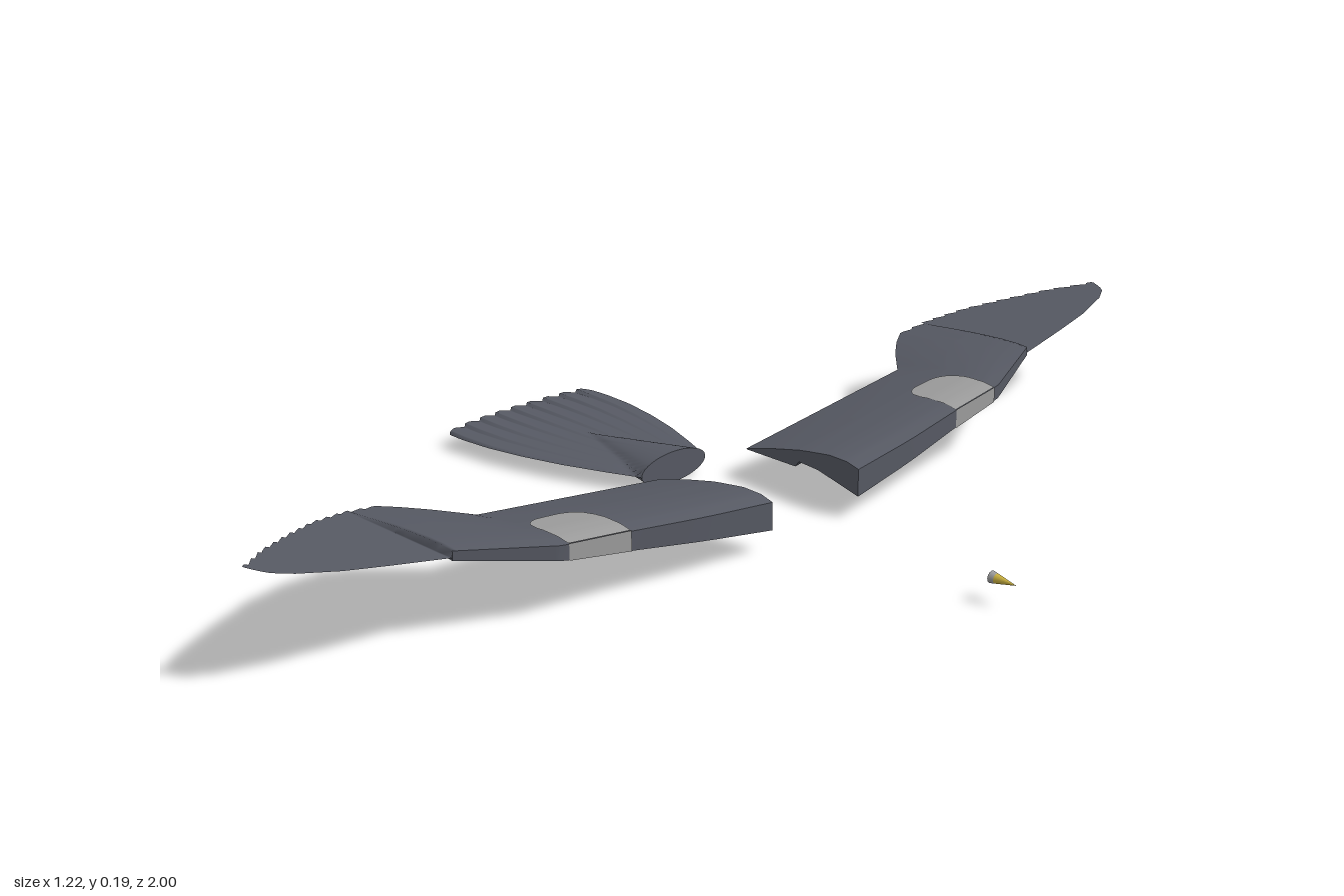
import * as THREE from 'three';

const plumage = new THREE.MeshStandardMaterial({ color: 0x565963, side: THREE.DoubleSide });
plumage.name = 'slate plumage';
const pale = new THREE.MeshStandardMaterial({ color: 0x9c9c9c, side: THREE.DoubleSide });
pale.name = 'pale grey';
const yellow = new THREE.MeshStandardMaterial({ color: 0xc9b040 });
yellow.name = 'beak yellow';

// Linear interpolation in a list of [key, value] pairs
function table(points, k) {
  if (k <= points[0][0]) return points[0][1];
  for (let i = 1; i < points.length; i++) {
    const [a, va] = points[i - 1], [b, vb] = points[i];
    if (k <= b) return va + (vb - va) * (k - a) / (b - a);
  }
  return points[points.length - 1][1];
}

// Surface sampled from fn(u, v) -> [x, y, z]
function sheet(name, material, fn, us, vs, flip) {
  const pos = [], idx = [], n = vs.length;
  for (const u of us) for (const v of vs) pos.push(...fn(u, v));
  for (let i = 0; i < us.length - 1; i++) for (let j = 0; j < n - 1; j++) {
    const a = i * n + j, b = a + 1, c = a + n, d = c + 1;
    if (flip) idx.push(a, c, b, b, c, d);
    else idx.push(a, b, c, b, d, c);
  }
  const g = new THREE.BufferGeometry();
  g.setAttribute('position', new THREE.Float32BufferAttribute(pos, 3));
  g.setIndex(idx);
  g.computeVertexNormals();
  const mesh = new THREE.Mesh(g, material);
  mesh.name = name;
  return mesh;
}
const range = (a, b, n) => Array.from({ length: n + 1 }, (_, i) => a + (b - a) * i / n);

// Wing outline and section, by distance from the centre line
const LEAD = [[0.105, 0.178], [0.25, 0.168], [0.4, 0.149], [0.53, 0.138], [0.69, 0.077], [0.8, 0.072],
  [0.88, 0.066], [0.95, 0.05], [0.98, 0.034], [0.99, 0.02], [1, -0.002]];
const TRAIL = [[0.105, -0.092], [0.51, -0.09], [0.56, -0.14], [0.6, -0.172], [0.635, -0.193], [0.7, -0.187],
  [0.78, -0.158], [0.85, -0.118], [0.93, -0.067], [0.98, -0.025], [1, -0.008]];
const BASE = [[0.105, 0.056], [0.51, 0.108], [0.69, 0.139], [1, 0.195]];
const THICK = [[0.105, 1], [0.69, 0.33], [0.691, 0]];
const TOP = [[0, 0], [0.25, 0.018], [0.5, 0.033], [0.75, 0.042], [0.9, 0.041], [1, 0.034]];
const UNDER = [[0, -0.001], [0.45, -0.001], [0.48, 0.01], [0.65, 0.007], [0.85, -0.006], [1, -0.016]];

const lead = z => table(LEAD, z);
function trail(z) {
  const tooth = z > 0.64 && z < 0.99 ? 0.009 * (((z - 0.64) / 0.025) % 1) : 0;
  return table(TRAIL, z) + tooth;
}
const height = (z, t, section) => table(BASE, z) + table(THICK, z) * table(section, t);

function wing(name, side) {
  const wingGroup = new THREE.Group();
  wingGroup.name = name;
  const flip = side < 0;
  const stations = [...range(0.105, 0.51, 10), ...range(0.53, 0.69, 20), ...range(0.691, 1, 74)];
  const chord = [0, 0.12, 0.25, 0.38, 0.45, 0.48, 0.57, 0.65, 0.75, 0.85, 0.9, 1];
  const surface = section => (z, t) => {
    const b = trail(z);
    return [b + (lead(z) - b) * t, height(z, t, section), side * z];
  };
  wingGroup.add(sheet('wingTop', plumage, surface(TOP), stations, chord, !flip));
  wingGroup.add(sheet('wingUnderside', plumage, surface(UNDER), stations, chord, flip));

  // Thick leading edge of the inner wing, and the closed root and wrist ends
  const front = (z, v) => [lead(z), height(z, 1, UNDER) * (1 - v) + height(z, 1, TOP) * v, side * z];
  wingGroup.add(sheet('wingLeadingEdge', plumage, front, stations.filter(z => z <= 0.6901), [0, 1], flip));
  for (const z of [0.105, 0.69]) {
    const cap = (t, v) => [trail(z) + (lead(z) - trail(z)) * t,
      height(z, t, UNDER) * (1 - v) + height(z, t, TOP) * v, side * z];
    wingGroup.add(sheet('wingEnd', plumage, cap, chord, [0, 1], flip === (z < 0.2)));
  }

  // Pale patch with rounded rear corners, wrapping over the leading edge
  const z0 = 0.395, z1 = 0.515, r = 0.045;
  const patch = (z, s) => {
    const e = Math.max(0, r - Math.min(z - z0, z1 - z));
    const rear = 0.02 + r - Math.sqrt(Math.max(0, r * r - e * e));
    const x = rear + (lead(z) - rear) * s;
    const t = (x - trail(z)) / (lead(z) - trail(z));
    return [x, height(z, t, TOP) + 0.002, side * z];
  };
  const zs = range(z0, z1, 24);
  wingGroup.add(sheet('wingPatch', pale, patch, zs, range(0, 1, 10), !flip));
  const edgePatch = (z, v) => {
    const p = front(z, v);
    return [p[0] + 0.002, p[1] + 0.002 * v, p[2]];
  };
  wingGroup.add(sheet('wingPatchEdge', pale, edgePatch, zs, [0, 1], flip));
  return wingGroup;
}

// Tail: an oval stump flowing into a flat fan of overlapping feathers
function tail() {
  const group = new THREE.Group();
  group.name = 'tail';
  const WIDTH = [[0.17, 0.078], [0.24, 0.107], [0.32, 0.136], [0.4, 0.158], [0.48, 0.173], [0.55, 0.178], [0.61, 0.176]];
  const FEATHERS = 9, MID = 0.029;
  const surface = dir => (s, w) => {
    const saw = ((w + 1) / 2 * FEATHERS) % 1;
    const end = 0.61 - 0.014 * w * w - 0.008 * Math.abs(saw - 0.5) * 2;
    const d = 0.17 + (end - 0.17) * s;
    const z = table(WIDTH, d) * w;
    const taper = Math.max(0, 1 - (d - 0.17) / 0.23);
    const q = z / (0.078 * taper + 1e-6);
    const stump = q * q < 1 ? (0.005 + 0.024 * taper) * Math.sqrt(1 - q * q) : 0;
    const ridge = 0.006 * s * s * (saw - 0.5);
    const plate = 0.0045 * (1 - w ** 8) * Math.min(1, s * 6);
    return [-d, MID + ridge + dir * Math.max(stump, plate), z];
  };
  const along = range(0, 1, 28), across = range(-1, 1, 108);
  const top = surface(1), under = surface(-1);
  group.add(sheet('tailTop', plumage, top, along, across, true));
  group.add(sheet('tailUnderside', plumage, under, along, across, false));
  for (const s of [0, 1]) {
    const cap = (w, v) => (v ? top : under)(s, w);
    group.add(sheet(s ? 'tailFeatherEnds' : 'tailBase', plumage, cap, across, [0, 1], s === 0));
  }
  return group;
}

// Small pointed beak with a pale collar at its base
function beak() {
  const group = new THREE.Group();
  group.name = 'beak';
  const collar = new THREE.Mesh(new THREE.CylinderGeometry(0.0085, 0.0105, 0.01, 12), pale);
  collar.name = 'beakCollar';
  collar.position.y = 0.005;
  const tip = new THREE.Mesh(new THREE.ConeGeometry(0.0085, 0.04, 12), yellow);
  tip.name = 'beakTip';
  tip.position.y = 0.03;
  group.add(collar, tip);
  group.rotation.z = -Math.PI / 2;
  group.position.set(0.557, 0.042, 0);
  return group;
}

export function createModel() {
  const model = new THREE.Group();
  model.name = 'birdWingsTailAndBeak';
  model.add(wing('frontWing', 1), wing('backWing', -1), tail(), beak());
  return model;
}
